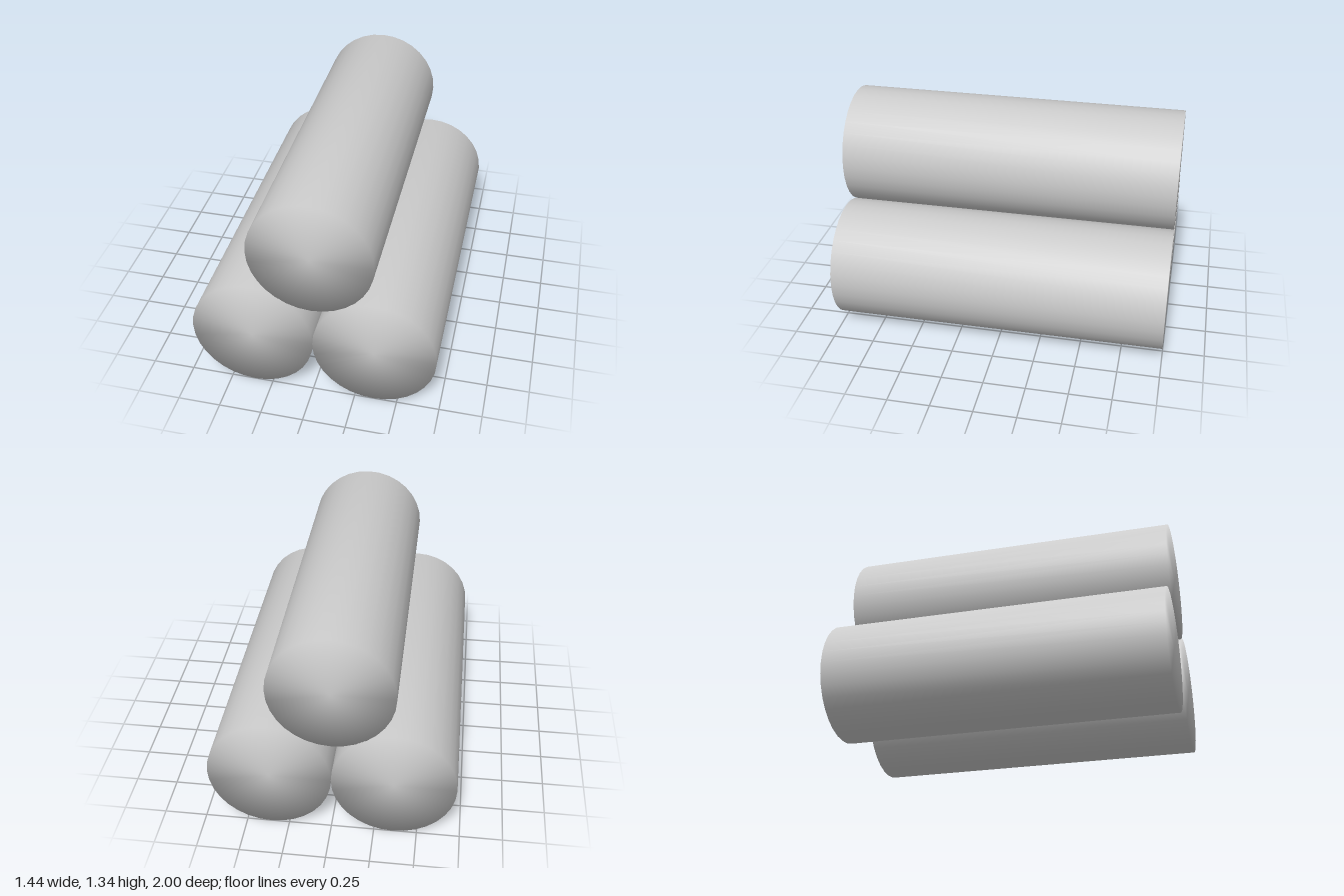
import * as THREE from 'three';
import { mergeVertices } from 'three/addons/utils/BufferGeometryUtils.js';

const RADIUS = 0.359;
const LENGTH = 2;

// Capped log whose normals blend smoothly over the rim
function logGeometry() {
  const cylinder = new THREE.CylinderGeometry(RADIUS, RADIUS, LENGTH, 32);
  cylinder.deleteAttribute('normal');
  cylinder.deleteAttribute('uv');
  const geometry = mergeVertices(cylinder, 1e-4);
  geometry.rotateX(Math.PI / 2);
  geometry.computeVertexNormals();
  return geometry;
}

export function createModel() {
  const group = new THREE.Group();
  group.name = 'logStack';
  const material = new THREE.MeshStandardMaterial({ color: 0xcccccc });
  const geometry = logGeometry();

  // Two logs side by side, a third resting in the groove between them
  const logs = [
    ['rightLog', -RADIUS, RADIUS],
    ['leftLog', RADIUS, RADIUS],
    ['topLog', -0.004, 0.977],
  ];
  for (const [name, x, y] of logs) {
    const log = new THREE.Mesh(geometry, material);
    log.name = name;
    log.position.set(x, y, 0);
    group.add(log);
  }
  return group;
}
